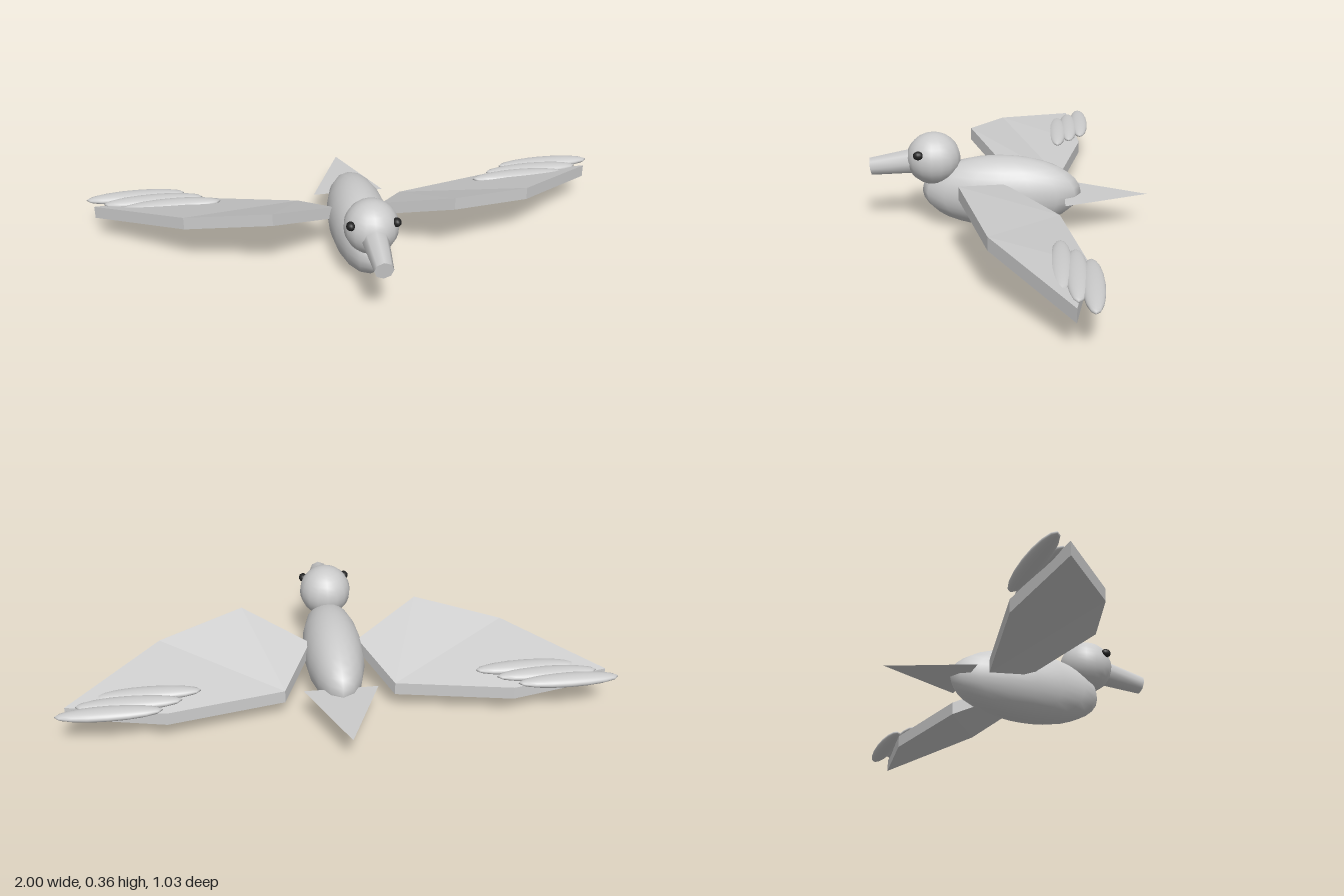
import * as THREE from 'three';

const grey = new THREE.MeshStandardMaterial({ color: 0xcccccc });
const facetGrey = new THREE.MeshStandardMaterial({ color: 0xcccccc, side: THREE.DoubleSide });
const dark = new THREE.MeshStandardMaterial({ color: 0x222222 });

function add(parent, name, geometry, material, x = 0, y = 0, z = 0) {
  const mesh = new THREE.Mesh(geometry, material);
  mesh.name = name;
  mesh.position.set(x, y, z);
  parent.add(mesh);
  return mesh;
}

function ellipsoid(rx, ry, rz, seg = 16) {
  return new THREE.SphereGeometry(1, seg, seg).scale(rx, ry, rz);
}

// Slightly warped wing slab: top outline dropped by a constant thickness
function wingGeometry(side) {
  const thickness = 0.048;
  const outline = [
    [0.09, 0.195, 0.01], // root
    [0.33, 0.275, 0.16], // leading corner
    [0.64, 0.225, 0.045],
    [0.97, 0.148, -0.23], // tip
    [0.62, 0.127, -0.28],
    [0.2, 0.122, -0.19], // inner trailing corner
  ];
  const top = outline.map(([x, y, z]) => [x * side, y, z]);
  const bottom = top.map(([x, y, z]) => [x, y - thickness, z]);
  const positions = [];
  const tri = (a, b, c) => positions.push(...a, ...(side > 0 ? [...b, ...c] : [...c, ...b]));
  for (const [a, b, c] of [[0, 1, 5], [1, 2, 5], [2, 4, 5], [2, 3, 4]]) {
    tri(top[a], top[b], top[c]);
    tri(bottom[a], bottom[c], bottom[b]);
  }
  for (let i = 0; i < 6; i++) {
    const j = (i + 1) % 6;
    tri(top[i], bottom[i], bottom[j]);
    tri(top[i], bottom[j], top[j]);
  }
  const geometry = new THREE.BufferGeometry();
  geometry.setAttribute('position', new THREE.Float32BufferAttribute(positions, 3));
  geometry.computeVertexNormals();
  return geometry;
}

export function createModel() {
  const bird = new THREE.Group();
  bird.name = 'bird';

  add(bird, 'body', ellipsoid(0.111, 0.136, 0.295), grey, 0, 0.137, 0.026);
  add(bird, 'head', ellipsoid(0.097, 0.097, 0.1), grey, 0, 0.263, 0.277);

  // Blunt tapered beak, tipped slightly downwards
  const beak = add(bird, 'beak', new THREE.CylinderGeometry(0.034, 0.051, 0.2, 8), grey, 0, 0.242, 0.411);
  beak.rotation.x = Math.PI / 2 + 0.15;

  // Flat triangular tail
  const tailShape = new THREE.Shape([
    new THREE.Vector2(-0.135, 0.21),
    new THREE.Vector2(0.135, 0.21),
    new THREE.Vector2(0, 0.515),
  ]);
  const tailGeometry = new THREE.ShapeGeometry(tailShape).rotateX(-Math.PI / 2);
  add(bird, 'tail', tailGeometry, facetGrey, 0, 0.13, 0);

  for (const side of [1, -1]) {
    const label = side > 0 ? 'left' : 'right';
    add(bird, label + 'Eye', ellipsoid(0.016, 0.016, 0.019, 12), dark, side * 0.08, 0.297, 0.325);

    const wing = new THREE.Group();
    wing.name = label + 'Wing';
    bird.add(wing);
    add(wing, 'wingPanel', wingGeometry(side), facetGrey);
    // Overlapping tip feathers stepping inward
    for (let i = 0; i < 3; i++) {
      add(wing, 'feather' + (i + 1), ellipsoid(0.185, 0.021, 0.037), grey,
        side * (0.815 - 0.067 * i), 0.148 + 0.002 * i, -0.283 + 0.048 * i);
    }
  }
  return bird;
}
